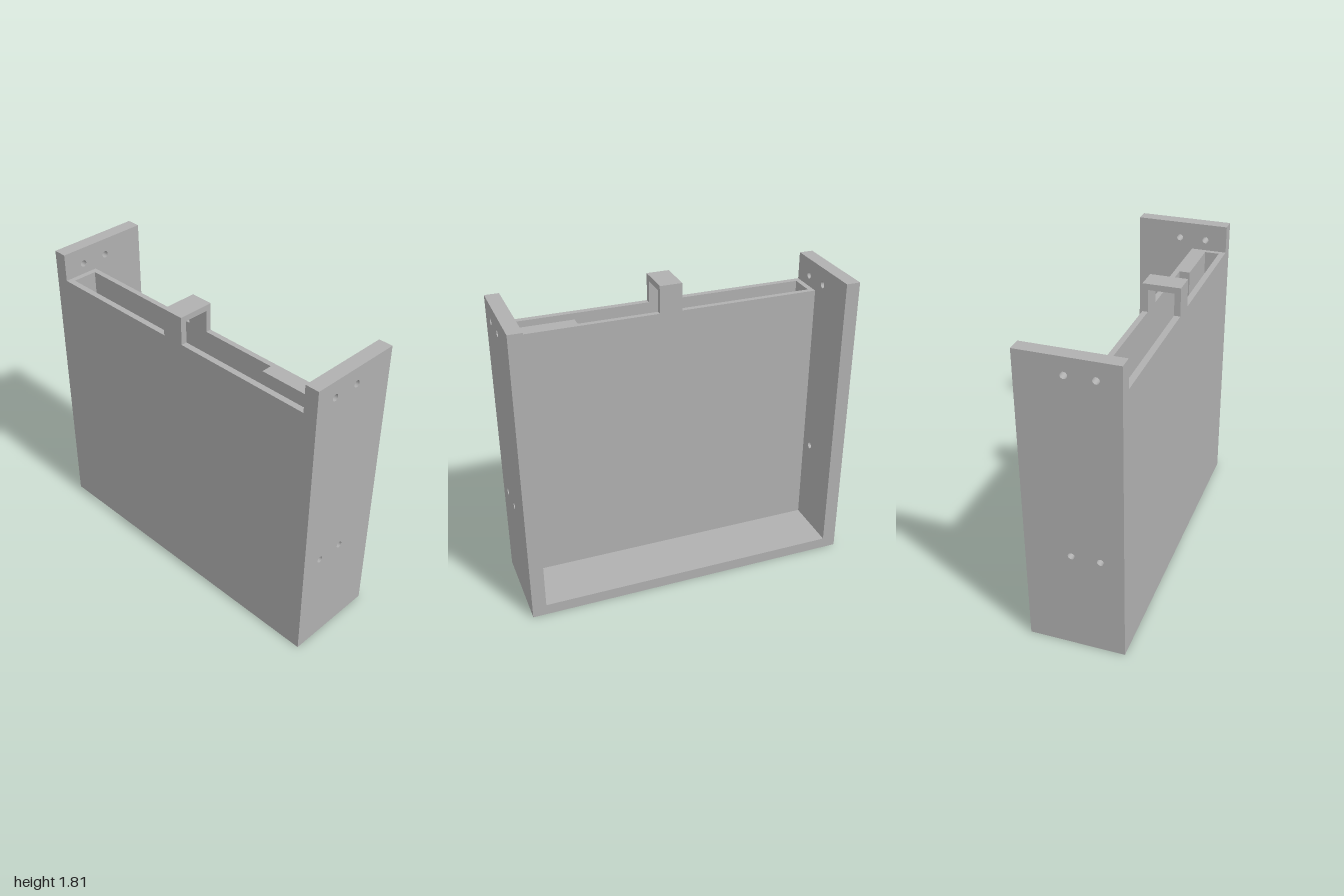
import * as THREE from 'three';

const HALF_W = 1, HEIGHT = 1.81, HALF_D = 0.283; // overall size
const INNER = 0.917;                              // inner face of the side panels
const FLOOR = 0.067, RIM = 1.645;                 // floor top and pocket rim
const POCKET_BACK = 0.065, SLOT_BACK = 0.097, SLOT_FRONT = 0.247, SLOT_END = 0.885;

function rectPoints(x0, y0, x1, y1) {
  return [[x0, y0], [x1, y0], [x1, y1], [x0, y1]].map(([x, y]) => new THREE.Vector2(x, y));
}

function extrude(shape, depth) {
  return new THREE.ExtrudeGeometry(shape, { depth, bevelEnabled: false, curveSegments: 16 });
}

export function createModel() {
  const model = new THREE.Group();
  const grey = new THREE.MeshStandardMaterial({ color: 0xb0b0b0 });
  grey.name = 'plain grey';

  const add = (name, geometry, x = 0, y = 0, z = 0) => {
    const mesh = new THREE.Mesh(geometry, grey);
    mesh.name = name;
    mesh.position.set(x, y, z);
    model.add(mesh);
  };
  const box = (name, x0, x1, y0, y1, z0, z1) =>
    add(name, new THREE.BoxGeometry(x1 - x0, y1 - y0, z1 - z0),
      (x0 + x1) / 2, (y0 + y1) / 2, (z0 + z1) / 2);

  // side panels, each drilled with four screw holes
  const side = new THREE.Shape(rectPoints(-HALF_D, 0, HALF_D, HEIGHT));
  for (const z of [0.15, -0.015]) {
    for (const y of [0.62, 1.71]) {
      side.holes.push(new THREE.Path().absarc(z, y, 0.02, 0, Math.PI * 2, true));
    }
  }
  const panel = extrude(side, HALF_W - INNER).rotateY(-Math.PI / 2);
  add('leftPanel', panel, HALF_W);
  add('rightPanel', panel, -INNER);

  // floor with the long slot that opens the pocket downwards
  const floor = new THREE.Shape(rectPoints(-INNER, -HALF_D, INNER, HALF_D));
  floor.holes.push(new THREE.Path(rectPoints(-SLOT_END, SLOT_BACK, SLOT_END, SLOT_FRONT)));
  add('floor', extrude(floor, FLOOR).rotateX(Math.PI / 2), 0, FLOOR);

  // front and back pocket walls, each with a raised tab for the bridge
  const bridge = [-0.07, 0.065], bridgeUnder = HEIGHT - 0.035;
  const wall = new THREE.Shape([
    [-INNER, FLOOR], [INNER, FLOOR], [INNER, RIM], [bridge[1], RIM], [bridge[1], HEIGHT],
    [bridge[0], HEIGHT], [bridge[0], RIM], [-INNER, RIM],
  ].map(([x, y]) => new THREE.Vector2(x, y)));
  add('frontWall', extrude(wall, HALF_D - SLOT_FRONT), 0, 0, SLOT_FRONT);
  add('pocketBackWall', extrude(wall, SLOT_BACK - POCKET_BACK), 0, 0, POCKET_BACK);
  box('bridgeTop', bridge[0], bridge[1], bridgeUnder, HEIGHT, SLOT_BACK, SLOT_FRONT);

  // pocket end walls
  box('pocketLeftEnd', SLOT_END, INNER, FLOOR, RIM, SLOT_BACK, SLOT_FRONT);
  box('pocketRightEnd', -INNER, -SLOT_END, FLOOR, RIM, SLOT_BACK, SLOT_FRONT);

  // block narrowing the pocket mouth at the left end
  box('pocketBlock', 0.535, SLOT_END, RIM - 0.3, RIM, SLOT_BACK, 0.16);

  return model;
}
